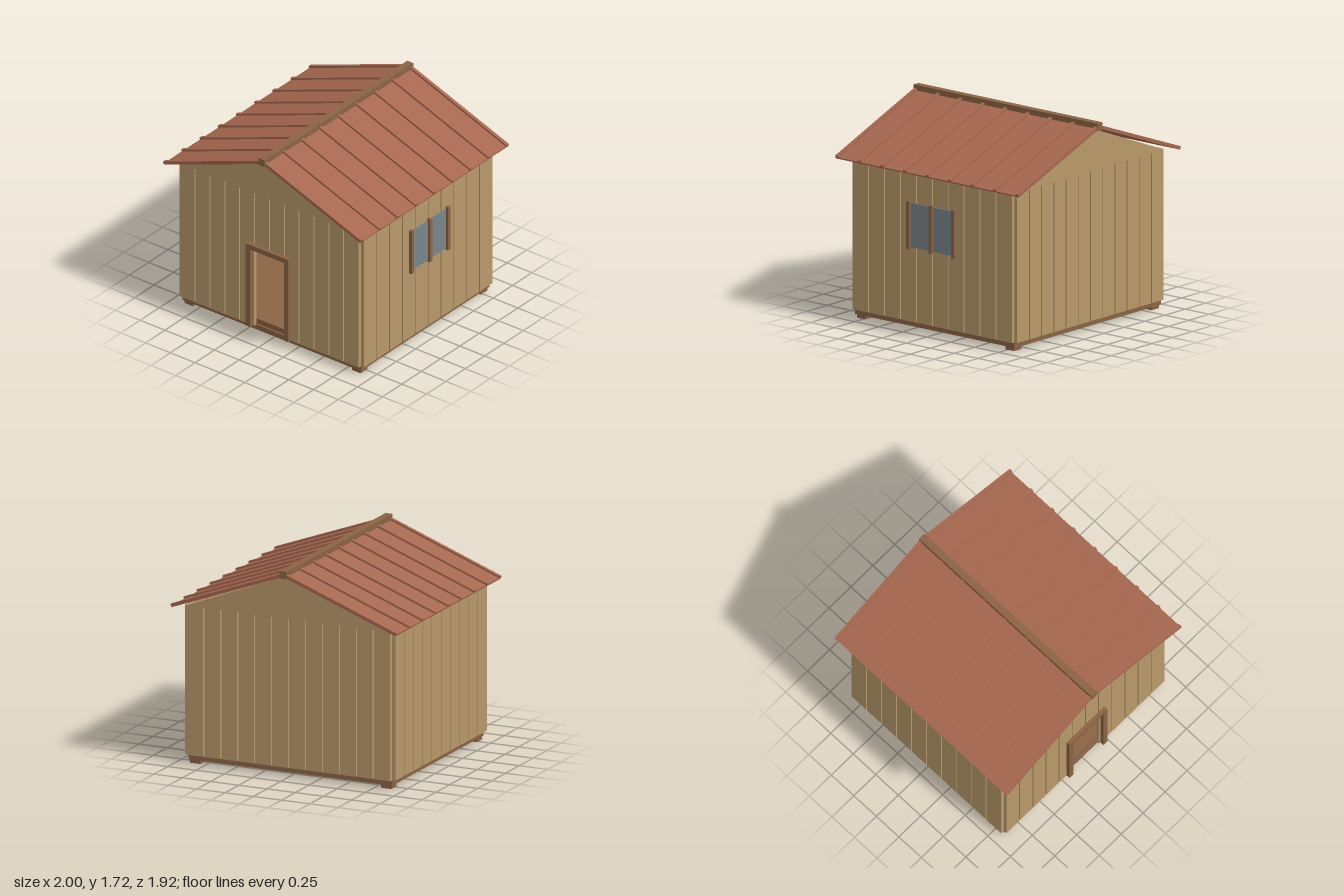
import * as THREE from 'three';

export function createModel() {
  const model = new THREE.Group();
  model.name = 'woodenShed';

  const mat = (name, color) => {
    const m = new THREE.MeshStandardMaterial({ color });
    m.name = name;
    return m;
  };
  const wall = mat('wallWood', 0xb8986a);
  const trim = mat('trimWood', 0x8b6344);
  const roof = mat('roofRed', 0xa6674f);
  const glass = mat('windowGlass', 0x78868a);

  // Box given by its minimum and maximum corners
  const box = (parent, name, material, [x0, y0, z0], [x1, y1, z1]) => {
    const mesh = new THREE.Mesh(new THREE.BoxGeometry(x1 - x0, y1 - y0, z1 - z0), material);
    mesh.position.set((x0 + x1) / 2, (y0 + y1) / 2, (z0 + z1) / 2);
    mesh.name = name;
    parent.add(mesh);
    return mesh;
  };
  const group = (name, parent = model) => {
    const g = new THREE.Group();
    g.name = name;
    parent.add(g);
    return g;
  };

  // Base: feet, platform and inner floor
  const base = group('base');
  for (const sx of [-1, 1]) for (const sz of [-1, 1]) {
    const foot = box(base, 'foot', trim, [-0.045, 0, -0.045], [0.045, 0.03, 0.045]);
    foot.position.x = sx * 0.845;
    foot.position.z = sz * 0.775;
  }
  box(base, 'platform', trim, [-0.9, 0.03, -0.83], [0.9, 0.075, 0.83]);
  box(base, 'innerFloor', trim, [-0.885, 0.075, -0.815], [0.885, 0.12, 0.815]);

  // Plank walls with narrow gaps; the two planks over the door are short
  const y0 = 0.075, y1 = 1.305, gap = 0.005;
  const doorTop = 0.8;
  for (const s of [-1, 1]) {
    const endWall = group(s > 0 ? 'frontWall' : 'backWall');
    for (let i = 0; i < 12; i++) {
      const x = -0.9 + i * 0.15;
      const overDoor = s > 0 && (i === 5 || i === 6);
      const plank = box(endWall, 'plank', wall,
        [x + (i ? gap : 0), overDoor ? doorTop : y0, -0.015],
        [x + 0.15 - (i < 11 ? gap : 0), y1, 0.015]);
      plank.position.z = s * 0.845;
    }
    const sideWall = group(s > 0 ? 'leftWall' : 'rightWall');
    for (let i = 0; i < 10; i++) {
      const z = -0.83 + i * 0.166;
      const plank = box(sideWall, 'plank', wall,
        [-0.015, y0, z + (i ? gap : 0)],
        [0.015, y1, z + 0.166 - (i < 9 ? gap : 0)]);
      plank.position.x = s * 0.915;
    }
  }

  // Triangular gables
  const triangle = new THREE.Shape([
    new THREE.Vector2(-0.91, y1), new THREE.Vector2(0.91, y1), new THREE.Vector2(0, 1.665),
  ]);
  const gableGeo = new THREE.ExtrudeGeometry(triangle, { depth: 0.03, bevelEnabled: false });
  for (const z of [-0.86, 0.83]) {
    const gable = new THREE.Mesh(gableGeo, wall);
    gable.position.z = z;
    gable.name = 'gable';
    model.add(gable);
  }

  // Roof slopes: a thin sheet with nine raised battens, pivoting at the ridge
  const pitch = Math.atan2(0.37, 0.99);
  const length = Math.hypot(0.37, 0.99);
  for (const s of [-1, 1]) {
    const slope = group(s > 0 ? 'leftRoof' : 'rightRoof');
    slope.position.y = 1.675;
    slope.rotation.z = -s * pitch;
    const span = (name, h, za, zb) => box(slope, name, roof,
      [s > 0 ? 0 : -length, 0, za], [s > 0 ? length : 0, h, zb]);
    span('roofSheet', 0.012, -0.95, 0.95);
    for (let i = 0; i < 9; i++) {
      const z = -0.94 + i * 0.235;
      span('batten', 0.028, z - 0.015, z + 0.015);
    }
  }
  box(model, 'ridgeBeam', trim, [-0.03, 1.66, -0.96], [0.03, 1.722, 0.96]);

  // Door frame around the open doorway
  const door = group('doorFrame');
  box(door, 'doorPost', trim, [-0.215, 0.075, 0.86], [-0.172, 0.835, 0.893]);
  box(door, 'doorPost', trim, [0.172, 0.075, 0.86], [0.215, 0.835, 0.893]);
  box(door, 'doorLintel', trim, [-0.172, 0.792, 0.86], [0.172, 0.835, 0.893]);

  // Side window with three upright bars
  const win = group('window');
  box(win, 'windowPane', glass, [0.931, 0.69, -0.225], [0.94, 1.055, 0.225]);
  for (const z of [-0.235, 0, 0.235]) {
    box(win, 'windowBar', trim, [0.931, 0.675, z - 0.015], [0.96, 1.07, z + 0.015]);
  }

  // Loose straw on the floor
  const straw = group('straw');
  for (let i = 0; i < 26; i++) {
    const a = i * 2.4, r = 0.055 * Math.sqrt(i);
    const stalk = box(straw, 'stalk', wall, [-0.06, 0, -0.003], [0.06, 0.006, 0.003]);
    stalk.position.set(-0.12 + 0.7 * r * Math.cos(a), 0.132, r * Math.sin(a));
    stalk.rotation.set(0, i * 1.7, 0.08 * Math.sin(i * 3));
  }

  return model;
}
